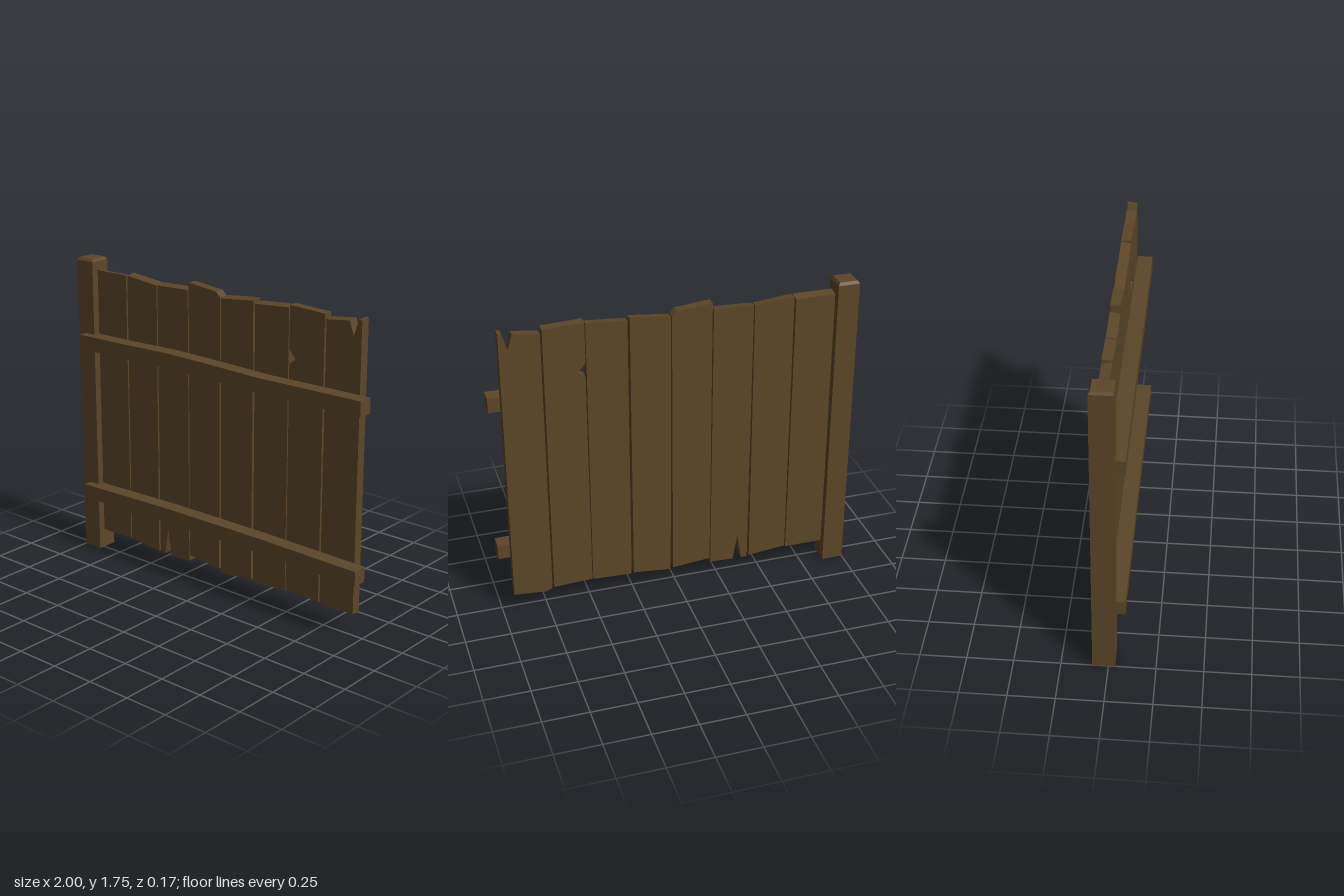
import * as THREE from 'three';

const wood = new THREE.MeshStandardMaterial({ color: 0x5c4628, flatShading: true });

// Extrudes an outline from z0 to z1
function slab(name, points, z0, z1) {
  const shape = new THREE.Shape(points.map(([x, y]) => new THREE.Vector2(x, y)));
  const geo = new THREE.ExtrudeGeometry(shape, { depth: z1 - z0, bevelEnabled: false });
  geo.translate(0, 0, z0);
  const mesh = new THREE.Mesh(geo, wood);
  mesh.name = name;
  return mesh;
}

// Raises or lowers the back corners of a plank's ends so the cuts are slightly slanted
function slantEnds(mesh, top, bottom) {
  const p = mesh.geometry.attributes.position;
  for (let i = 0; i < p.count; i++) {
    if (p.getZ(i) > -0.03) continue;
    if (p.getY(i) > 1.66) p.setY(i, p.getY(i) + top);
    else if (p.getY(i) < 0.15) p.setY(i, p.getY(i) + bottom);
  }
  mesh.geometry.computeVertexNormals();
}

// Planks: outline counter-clockwise from the lower left, then end slants
const planks = [
  { pts: [[-0.875, 0.115], [-0.655, 0.115], [-0.655, 1.687], [-0.875, 1.687]], top: -0.01, bottom: 0 },
  { pts: [[-0.648, 0.117], [-0.432, 0.095], [-0.426, 1.665], [-0.645, 1.688]], top: 0.008, bottom: 0.005 },
  { pts: [[-0.42, 0.095], [-0.385, 0.095], [-0.36, 0.25], [-0.335, 0.095], [-0.2, 0.1],
    [-0.2, 1.675], [-0.42, 1.667]], top: 0.008, bottom: 0 },
  { pts: [[-0.195, 0.137], [0.022, 0.117], [0.027, 1.67], [0, 1.697], [-0.193, 1.717]], top: 0, bottom: -0.01 },
  { pts: [[0.036, 0.095], [0.252, 0.115], [0.252, 1.688], [0.032, 1.665]], top: 0.009, bottom: 0.004 },
  { pts: [[0.265, 0.11], [0.487, 0.12], [0.485, 1.69], [0.264, 1.674]], top: 0.008, bottom: 0.004 },
  { pts: [[0.492, 0.132], [0.71, 0.122], [0.71, 1.694], [0.49, 1.704], [0.49, 1.472],
    [0.535, 1.425], [0.492, 1.395]], top: 0, bottom: -0.006 },
  { pts: [[0.72, 0.125], [0.752, 0.108], [0.935, 0.122], [0.935, 1.697], [0.915, 1.697],
    [0.887, 1.607], [0.862, 1.685], [0.72, 1.668]], top: 0.005, bottom: -0.012 },
];

// Gently wavy horizontal rail: x and sideways offset of the lower edge
function rail(name, y, wave) {
  const lower = wave.map(([x, dy]) => [x, y + dy]);
  const upper = wave.map(([x, dy]) => [x, y + dy + 0.083]).reverse();
  return slab(name, [...lower, ...upper], 0, 0.085);
}

export function createModel() {
  const group = new THREE.Group();
  group.name = 'fencePanel';

  // Square post with a small chamfer round its top
  const post = new THREE.Group();
  post.name = 'post';
  const shaft = new THREE.Mesh(new THREE.BoxGeometry(0.12, 1.735, 0.12), wood);
  shaft.name = 'postShaft';
  shaft.position.y = 0.8675;
  const cap = new THREE.Mesh(
    new THREE.CylinderGeometry(0.05 * Math.SQRT2, 0.06 * Math.SQRT2, 0.015, 4).rotateY(Math.PI / 4), wood);
  cap.name = 'postTop';
  cap.position.y = 1.7425;
  post.add(shaft, cap);
  post.position.set(-0.94, 0, -0.025);
  group.add(post);

  // Upright boards
  planks.forEach(({ pts, top, bottom }, i) => {
    const plank = slab(`plank${i + 1}`, pts, -0.055, 0);
    slantEnds(plank, top, bottom);
    group.add(plank);
  });

  // Cross rails on the front
  group.add(rail('upperRail', 1.234,
    [[-0.945, 0], [-0.62, 0.003], [-0.3, 0.011], [0.02, 0.005], [0.36, -0.005], [0.68, -0.002], [1, 0]]));
  group.add(rail('lowerRail', 0.325,
    [[-0.945, 0], [-0.62, 0.007], [-0.3, 0.013], [0.02, 0.013], [0.36, 0.012], [0.68, 0.006], [1, 0]]));

  return group;
}
